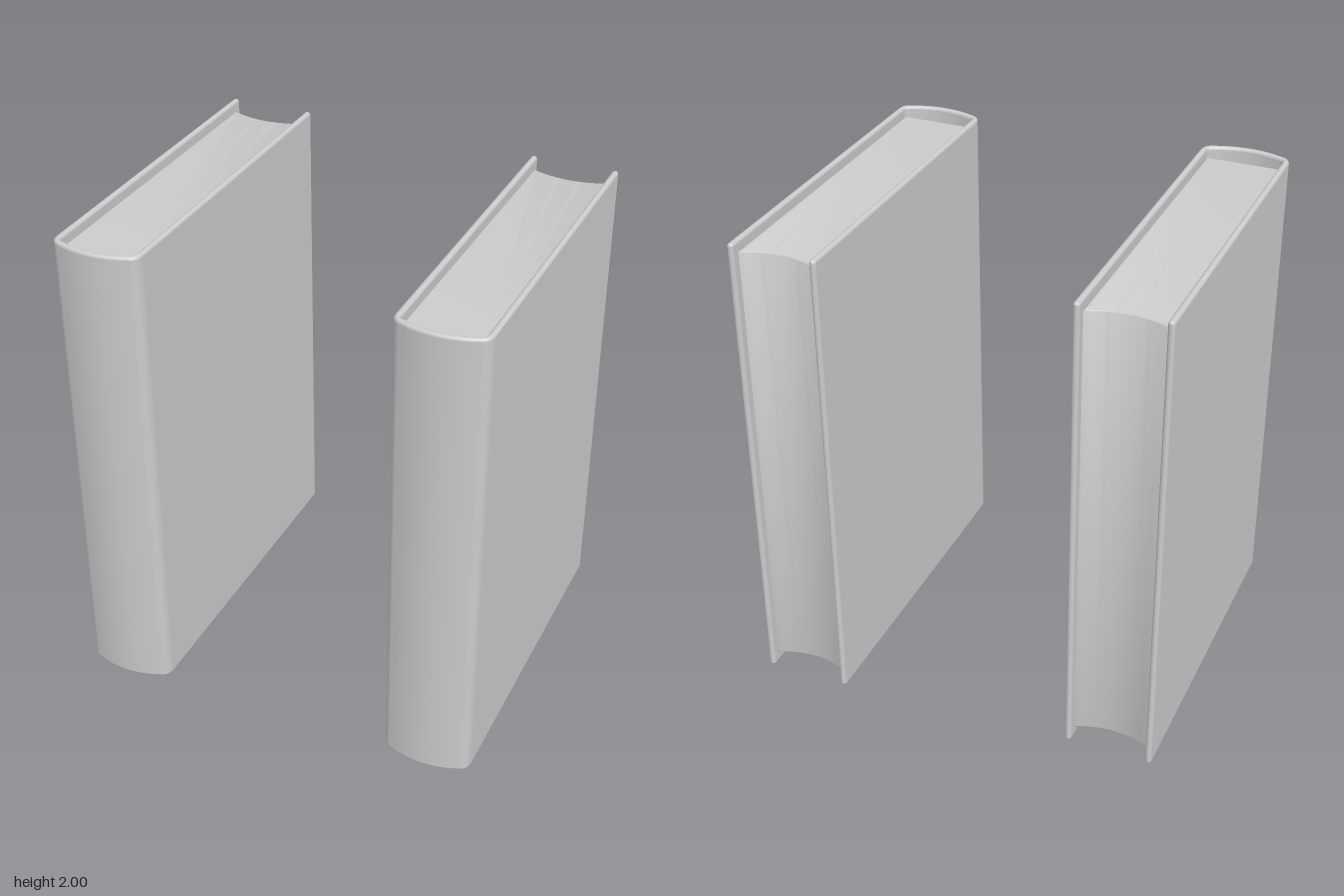
import * as THREE from 'three';
import { mergeVertices, toCreasedNormals } from 'three/addons/utils/BufferGeometryUtils.js';

const HEIGHT = 1.975;      // cover height
const R = 0.013;           // half the board thickness, also the edge rounding
const XC = 0.168;          // board centreline, measured from the book's middle
const RECESS = 0.043;      // page block sits this far inside the cover

// Centreline of the U-shaped cover seen from above, as (x, z)
function coverCentreline() {
  const spineZ = x => 0.722 - 0.042 * (x / XC) ** 2;
  const corner = new THREE.QuadraticBezierCurve(
    new THREE.Vector2(XC, 0.65), new THREE.Vector2(XC, 0.686), new THREE.Vector2(0.14, spineZ(0.14)));
  const half = [new THREE.Vector2(XC, -0.722), ...corner.getPoints(8)];
  for (let i = 1; i < 8; i++) {
    const x = 0.14 * (1 - i / 8);
    half.push(new THREE.Vector2(x, spineZ(x)));
  }
  const mirrored = half.map(p => new THREE.Vector2(-p.x, p.y)).reverse();
  return [...half, new THREE.Vector2(0, spineZ(0)), ...mirrored];
}

// Cover: rounded rings around the centreline, stacked from bottom to top
function coverGeometry() {
  const line = coverCentreline(), n = line.length;
  const outer = line.map((p, i) => {
    const t = line[Math.min(i + 1, n - 1)].clone().sub(line[Math.max(i - 1, 0)]).normalize();
    if (i <= 1 || i >= n - 2) t.set(0, i <= 1 ? 1 : -1);
    return { p, nx: t.y, nz: -t.x };
  });
  const inner = outer.map(o => ({ p: o.p, nx: -o.nx, nz: -o.nz })).reverse();
  const cap = p => [1, 2, 3, 4, 5, 6, 7].map(k => {
    const a = k * Math.PI / 8;
    return { p, nx: -Math.cos(a), nz: -Math.sin(a) };
  });
  const outline = [...outer, ...cap(line[n - 1]), ...inner, ...cap(line[0])];

  const rings = [];
  const STEPS = 6;
  for (let k = 0; k <= STEPS; k++) {
    const a = k / STEPS * Math.PI / 2;
    rings.push({ d: R * Math.sin(a), y: R * (1 - Math.cos(a)) });
  }
  for (let k = STEPS; k >= 0; k--) rings.push({ d: rings[k].d, y: HEIGHT - rings[k].y });

  const pos = [], index = [], m = outline.length;
  for (const { d, y } of rings)
    for (const o of outline) pos.push(o.p.x + o.nx * d, y, o.p.y + o.nz * d);
  for (let k = 0; k < rings.length - 1; k++) {
    for (let i = 0; i < m; i++) {
      const j = (i + 1) % m;
      const a = k * m + i, b = k * m + j, c = b + m, d = a + m;
      index.push(a, d, b, b, d, c);
    }
  }
  let geo = new THREE.BufferGeometry();
  geo.setAttribute('position', new THREE.Float32BufferAttribute(pos, 3));
  geo.setIndex(index);
  geo = mergeVertices(geo, 1e-5);
  geo.computeVertexNormals();
  return geo;
}

// Page block: flat towards the spine, hollow fore edge, softened rims
function pagesGeometry() {
  const b = 0.008, w = XC - R + 0.002 - b;
  const front = 0.673 - b, back = -0.695 + b;
  const shape = new THREE.Shape();
  shape.moveTo(-w, back);
  shape.quadraticCurveTo(0, back + 0.064, w, back);
  shape.lineTo(w, front);
  shape.lineTo(-w, front);
  shape.closePath();
  const depth = HEIGHT - 2 * RECESS - 2 * b;
  const geo = new THREE.ExtrudeGeometry(shape, {
    depth, bevelEnabled: true, bevelSize: b, bevelThickness: b, bevelSegments: 4, curveSegments: 20
  });
  geo.rotateX(Math.PI / 2);
  geo.translate(0, HEIGHT - RECESS - b, 0);
  return toCreasedNormals(geo, 0.7);
}

export function createModel() {
  const model = new THREE.Group();
  model.name = 'pairOfBooks';
  const material = new THREE.MeshStandardMaterial({ color: 0xcccccc });
  const parts = { cover: coverGeometry(), pages: pagesGeometry() };

  function addBook(name, x, y, z) {
    const book = new THREE.Group();
    book.name = name;
    for (const [part, geo] of Object.entries(parts)) {
      const mesh = new THREE.Mesh(geo, material);
      mesh.name = part;
      book.add(mesh);
    }
    book.position.set(x, y, z);
    model.add(book);
  }

  // Two equal books, slightly offset from each other
  addBook('rightBook', -0.662, 0.025, 0.018);
  addBook('leftBook', 0.662, 0, -0.018);
  return model;
}
